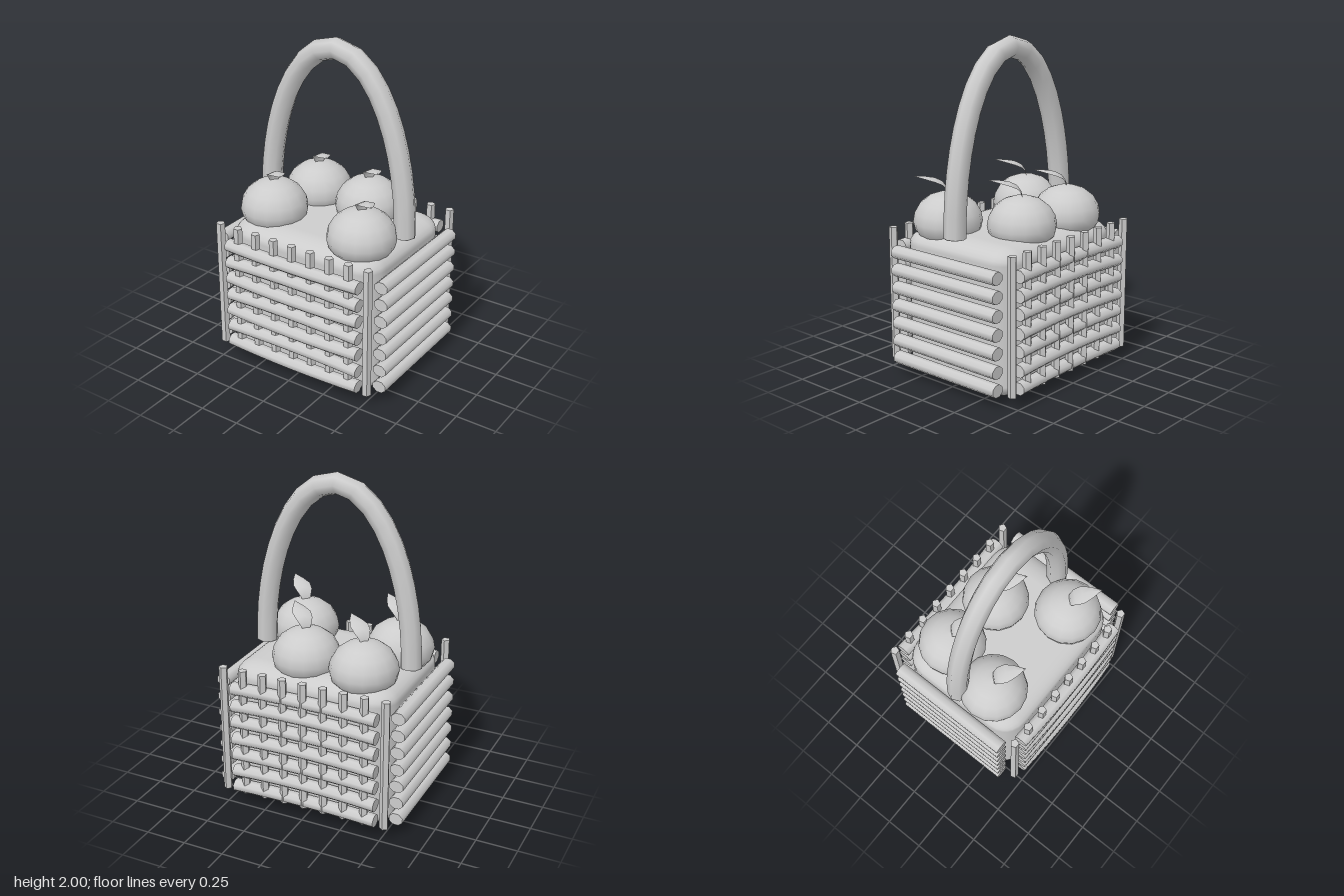
import * as THREE from 'three';
import { RoundedBoxGeometry } from 'three/addons/geometries/RoundedBoxGeometry.js';

export function createModel() {
  const model = new THREE.Group();
  const grey = new THREE.MeshStandardMaterial({ color: 0xcccccc });
  grey.name = 'lightGrey';
  grey.side = THREE.DoubleSide;

  const add = (name, geometry, x = 0, y = 0, z = 0, parent = model) => {
    const mesh = new THREE.Mesh(geometry, grey);
    mesh.name = name;
    mesh.position.set(x, y, z);
    parent.add(mesh);
    return mesh;
  };

  // Padded inner body, with flattened rounding at top and bottom
  const squash = 0.58;
  const body = new RoundedBoxGeometry(1.03, 0.89 / squash, 0.83, 3, 0.155);
  body.scale(1, squash, 1);
  add('basketBody', body, 0, 0.445, -0.01);

  // Slat along x, optionally bowed towards the middle in y or z
  const slat = (length, bowY, bowZ) => {
    const g = new THREE.CylinderGeometry(0.045, 0.045, length, 8, 8);
    g.rotateY(Math.PI / 8);
    g.rotateZ(Math.PI / 2);
    g.scale(1, 0.87, 1);
    const p = g.attributes.position;
    for (let i = 0; i < p.count; i++) {
      const t = p.getX(i) / (length / 2);
      const bow = 1 - t * t;
      p.setY(i, p.getY(i) + bowY * bow);
      p.setZ(i, p.getZ(i) + bowZ * bow);
    }
    return g;
  };

  // Seven rows of slats on each of the four sides
  for (let row = 0; row < 7; row++) {
    const y = 0.76 - row * 0.109;
    const odd = row % 2;
    const bowed = slat(0.92, odd ? 0.014 : 0, odd ? 0.004 : 0.016);
    add('frontSlat', bowed, 0, y - odd * 0.005, 0.447);
    add('backSlat', bowed, 0, y - odd * 0.005, -0.467);
    const straight = slat(0.785, 0, 0);
    straight.rotateY(Math.PI / 2);
    for (const side of [-1, 1]) add('sideSlat', straight, side * 0.56, y, -0.01);
  }

  // Five-sided upright stakes along front and back
  const stake = new THREE.CylinderGeometry(0.027, 0.027, 0.815, 5).toNonIndexed();
  stake.rotateY(Math.PI);
  stake.computeVertexNormals();
  for (let i = -4; i <= 4; i++) {
    add('frontStake', stake, i * 0.129, 0.483, 0.447);
    add('backStake', stake, i * 0.129, 0.483, -0.47);
  }

  // Arched handle with flat ends
  const arch = [];
  for (let i = 0; i <= 18; i++) {
    const a = (i / 18) * Math.PI;
    arch.push(new THREE.Vector3(0.475 * Math.cos(a), 0.895 + 1.04 * Math.sin(a), 0));
  }
  const curve = new THREE.CatmullRomCurve3(arch);
  add('handle', new THREE.TubeGeometry(curve, 20, 0.065, 8), 0, 0, -0.01);
  const cap = new THREE.CircleGeometry(0.065, 8);
  cap.rotateX(Math.PI / 2);
  for (const side of [-1, 1]) add('handleEnd', cap, side * 0.475, 0.895, -0.01);

  // Fruit profile, flatter underneath
  const profile = [
    [0, 0.8], [0.09, 0.803], [0.155, 0.835], [0.192, 0.88], [0.204, 0.93],
    [0.194, 0.985], [0.162, 1.04], [0.11, 1.08], [0.055, 1.099], [0, 1.105],
  ].map(([x, y]) => new THREE.Vector2(x, y));
  const fruit = new THREE.LatheGeometry(profile, 16);

  // Curled leaf: each station is distance out, height, half width
  const stations = [
    [0, 1.09, 0.016], [0.005, 1.13, 0.034], [0.03, 1.165, 0.05],
    [0.075, 1.187, 0.055], [0.13, 1.196, 0.035], [0.19, 1.2, 0.001],
  ];
  const points = [];
  const faces = [];
  stations.forEach(([out, y, w], i) => {
    for (let j = -1; j <= 1; j++) {
      points.push(out, y + (j ? -w * 0.25 : 0.004), j * w);
      if (i && j < 1) {
        const b = i * 3 + j + 1;
        faces.push(b - 3, b - 2, b, b, b - 2, b + 1);
      }
    }
  });
  const leaf = new THREE.BufferGeometry();
  leaf.setAttribute('position', new THREE.Float32BufferAttribute(points, 3));
  leaf.setIndex(faces);
  leaf.computeVertexNormals();
  // Make the upper side the front side
  if (leaf.attributes.normal.getY(10) < 0) {
    leaf.setIndex(faces.reverse());
    leaf.computeVertexNormals();
  }
  leaf.rotateY(-Math.PI / 4.3);

  // Four fruits, all leaves pointing the same way
  for (const [x, z] of [[-0.27, -0.223], [0.11, -0.197], [-0.34, 0.148], [0.313, 0.197]]) {
    const group = new THREE.Group();
    group.name = 'fruitWithLeaf';
    group.position.set(x, 0, z);
    model.add(group);
    add('fruit', fruit, 0, 0, 0, group);
    add('leaf', leaf, 0, 0, 0, group);
  }

  return model;
}
